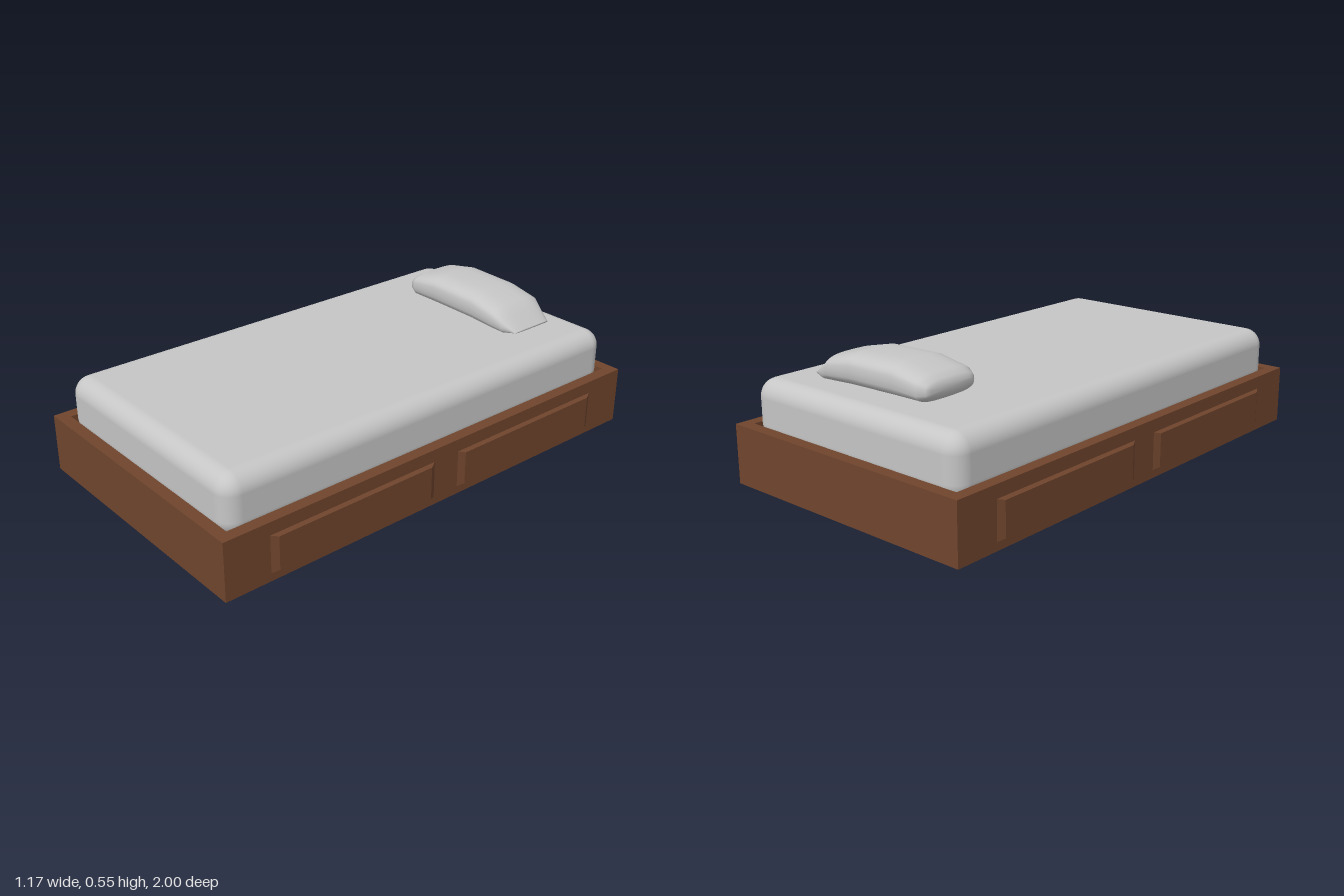
import * as THREE from 'three';
import { RoundedBoxGeometry } from 'three/addons/geometries/RoundedBoxGeometry.js';

const wood = new THREE.MeshStandardMaterial({ color: 0x70452d });
wood.name = 'brown wood';
const fabric = new THREE.MeshStandardMaterial({ color: 0xc6c6c6 });
fabric.name = 'pale grey fabric';

function add(group, name, geometry, material, x = 0, y = 0, z = 0) {
  const mesh = new THREE.Mesh(geometry, material);
  mesh.name = name;
  mesh.position.set(x, y, z);
  group.add(mesh);
  return mesh;
}

function rectangle(path, w, d) {
  path.moveTo(-w, -d);
  path.lineTo(w, -d);
  path.lineTo(w, d);
  path.lineTo(-w, d);
  path.closePath();
  return path;
}

// Hollow rim around the mattress
function frameGeometry() {
  const shape = rectangle(new THREE.Shape(), 0.57, 1);
  shape.holes.push(rectangle(new THREE.Path(), 0.522, 0.952));
  const geometry = new THREE.ExtrudeGeometry(shape, { depth: 0.235, bevelEnabled: false });
  return geometry.rotateX(-Math.PI / 2);
}

// Drawer front: a thin block whose outer face is bevelled inwards
function drawerGeometry(side) {
  const geometry = new THREE.BoxGeometry(0.018, 0.155, 0.77);
  const p = geometry.attributes.position;
  for (let i = 0; i < p.count; i++) {
    if (p.getX(i) * side > 0) {
      p.setY(i, p.getY(i) - Math.sign(p.getY(i)) * 0.01);
      p.setZ(i, p.getZ(i) - Math.sign(p.getZ(i)) * 0.035);
    }
  }
  geometry.computeVertexNormals();
  return geometry;
}

// Pillow: soft rectangular cross-sections lofted along x, pinched at +x
function pillowGeometry() {
  const sections = [ // x, bottom, top, half width
    [-0.26, 0.458, 0.492, 0.1], [-0.25, 0.44, 0.51, 0.119], [-0.22, 0.426, 0.528, 0.135],
    [-0.1, 0.423, 0.553, 0.138], [0.12, 0.419, 0.548, 0.138], [0.24, 0.415, 0.52, 0.138],
    [0.285, 0.411, 0.484, 0.122], [0.34, 0.43, 0.438, 0.099],
  ];
  const n = 32, points = [], index = [];
  const soft = (v) => Math.sign(v) * Math.pow(Math.abs(v), 2 / 3);
  for (const [x, low, high, half] of sections) {
    for (let j = 0; j < n; j++) {
      const a = (j / n) * Math.PI * 2;
      points.push(x, (low + high) / 2 + soft(Math.sin(a)) * (high - low) / 2, soft(Math.cos(a)) * half);
    }
  }
  const last = (sections.length - 1) * n, centre = sections.length * n;
  points.push(-0.26, 0.475, 0, 0.34, 0.434, 0);
  for (let j = 0; j < n; j++) {
    const k = (j + 1) % n;
    for (let r = 0; r < last; r += n) {
      index.push(r + j, r + n + j, r + k, r + k, r + n + j, r + n + k);
    }
    index.push(centre, j, k, centre + 1, last + k, last + j);
  }
  const geometry = new THREE.BufferGeometry();
  geometry.setAttribute('position', new THREE.Float32BufferAttribute(points, 3));
  geometry.setIndex(index);
  geometry.computeVertexNormals();
  return geometry;
}

export function createModel() {
  const bed = new THREE.Group();
  bed.name = 'bed';

  // Frame with its sunken base
  add(bed, 'frame', frameGeometry(), wood);
  add(bed, 'frameBase', new THREE.BoxGeometry(1.044, 0.17, 1.904), wood, 0, 0.085, 0);

  // Two drawers on each long side
  for (const side of [-1, 1]) {
    for (const z of [-0.44, 0.435]) {
      add(bed, side > 0 ? 'leftDrawer' : 'rightDrawer', drawerGeometry(side), wood, side * 0.575, 0.108, z);
    }
  }

  // Bedding
  add(bed, 'mattress', new RoundedBoxGeometry(1.04, 0.24, 1.9, 6, 0.07), fabric, 0, 0.293, 0);
  add(bed, 'pillow', pillowGeometry(), fabric, 0, 0, -0.698);
  return bed;
}
